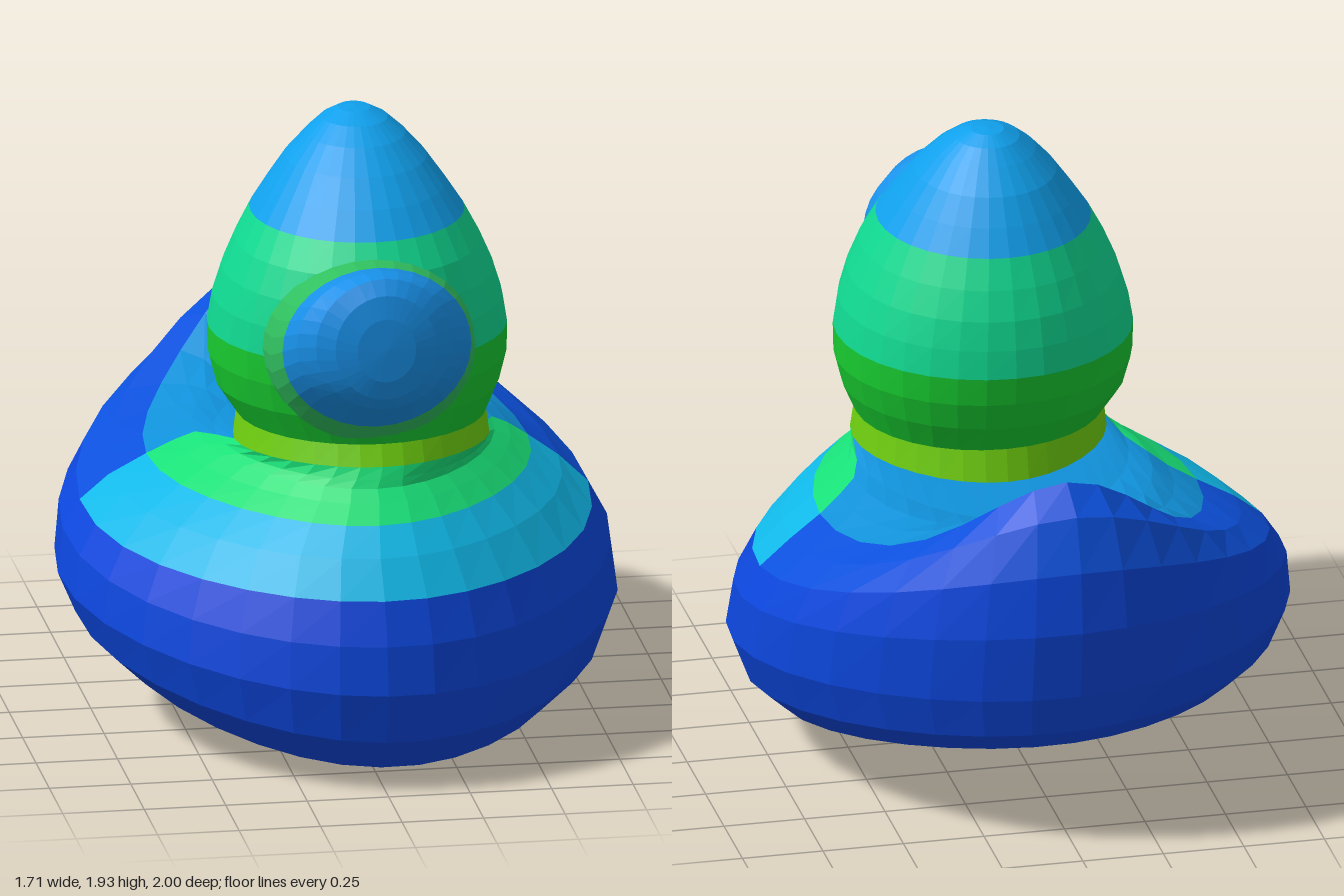
import * as THREE from 'three';

const SEGMENTS = 32;

// Skins a stack of rings between two angles; pointAt(ring, angle) gives each vertex.
function loft(name, rings, pointAt, color, start = 0, end = SEGMENTS) {
  const positions = [], index = [], row = end - start + 1;
  rings.forEach((ring) => {
    for (let j = start; j <= end; j++) {
      positions.push(...pointAt(ring, (j / SEGMENTS) * Math.PI * 2));
    }
  });
  for (let i = 0; i < rings.length - 1; i++) {
    for (let j = 0; j < row - 1; j++) {
      const a = i * row + j, b = a + 1, c = b + row, d = a + row;
      index.push(a, b, c, a, c, d);
    }
  }
  const geometry = new THREE.BufferGeometry();
  geometry.setAttribute('position', new THREE.Float32BufferAttribute(positions, 3));
  geometry.setIndex(index);
  geometry.computeVertexNormals();
  const mesh = new THREE.Mesh(geometry, new THREE.MeshStandardMaterial({ color, flatShading: true }));
  mesh.name = name;
  return mesh;
}

// Body ring: the height climbs from the front to the back by a power curve, raising the tail.
// The lower rings also lean slightly to the left.
function bodyPoint([zf, yf, zb, yb, hw, power, cx = 0], a) {
  const t = (1 - Math.cos(a)) / 2;
  const x = cx + hw * Math.sin(a) * (1 - 0.13 * Math.cos(a) ** 2);
  const lean = 0.06 * x * Math.max(0, 1 - yf / 0.8);
  return [x, yf + (yb - yf) * t ** power - lean, zf + (zb - zf) * t];
}

// Head ring: level oval.
function headPoint([y, zf, zb, hw, cx = 0.03], a) {
  return [cx + hw * Math.sin(a), y, (zf + zb) / 2 + ((zf - zb) / 2) * Math.cos(a)];
}

// Bill ring: upright oval facing forward.
function billPoint([z, bottom, top, hw], a) {
  return [0.015 + hw * Math.cos(a), (top + bottom) / 2 + ((top - bottom) / 2) * Math.sin(a), z];
}

export function createModel() {
  const model = new THREE.Group();
  model.name = 'duck';

  // front z, front y, back z, back y, half width, power, centre x
  const body = [
    [-0.05, 0.20, -0.05, 0.20, 0, 1],
    [0.36, 0.10, -0.45, 0.27, 0.32, 1],
    [0.70, 0.004, -0.80, 0.31, 0.57, 1],
    [0.86, 0.05, -0.88, 0.34, 0.70, 1],
    [0.96, 0.16, -0.93, 0.40, 0.80, 1],
    [1.00, 0.32, -0.97, 0.53, 0.853, 1.2],
    [0.98, 0.47, -1.00, 0.75, 0.835, 1.7],
    [0.93, 0.60, -0.98, 0.94, 0.78, 2.8],
    [0.85, 0.71, -0.92, 1.10, 0.69, 4.5],
    [0.77, 0.79, -0.83, 1.18, 0.585, 6.5, 0.01],
    [0.71, 0.84, -0.73, 1.11, 0.51, 7.5, 0.02],
    [0.67, 0.875, -0.61, 0.95, 0.455, 6, 0.02],
    [0.66, 0.90, -0.42, 0.885, 0.415, 1, 0.03],
    [0.645, 0.935, -0.16, 0.90, 0.39, 1, 0.04],
    [0.62, 1.00, -0.14, 1.00, 0.38, 1, 0.04],
  ];
  const bodyGroup = new THREE.Group();
  bodyGroup.name = 'body';
  bodyGroup.add(
    loft('underside', body.slice(0, 4), bodyPoint, 0x0a1cb0),
    loft('lowerBody', body.slice(3, 8), bodyPoint, 0x0c46dc),
  );
  // Shoulders are paler at the breast than at the tail.
  const shoulder = body.slice(7, 10), back = body.slice(9, 14);
  bodyGroup.add(
    loft('breast', shoulder, bodyPoint, 0x10b8e8, -8, 8),
    loft('tail', shoulder, bodyPoint, 0x0c50dc, 8, 24),
    loft('collar', back, bodyPoint, 0x18e078, -8, 8),
    loft('backAndTailHollow', back, bodyPoint, 0x1090d8, 8, 24),
    loft('neck', body.slice(13), bodyPoint, 0x70d010),
  );
  model.add(bodyGroup);

  // y, front z, back z, half width, centre x
  const head = [
    [1.00, 0.62, -0.14, 0.38, 0.04],
    [1.09, 0.65, -0.19, 0.43],
    [1.18, 0.67, -0.22, 0.453],
    [1.27, 0.68, -0.232, 0.455],
    [1.36, 0.68, -0.225, 0.44],
    [1.45, 0.67, -0.21, 0.412],
    [1.54, 0.64, -0.18, 0.373],
    [1.63, 0.58, -0.14, 0.325],
    [1.71, 0.515, -0.095, 0.272],
    [1.79, 0.44, -0.045, 0.215],
    [1.86, 0.36, 0.02, 0.152],
    [1.905, 0.29, 0.065, 0.10],
    [1.93, 0.22, 0.11, 0.05],
    [1.935, 0.16, 0.16, 0],
  ];
  const headGroup = new THREE.Group();
  headGroup.name = 'head';
  headGroup.add(
    loft('cheeks', head.slice(0, 4), headPoint, 0x18cc30),
    loft('headMiddle', head.slice(3, 8), headPoint, 0x10d890),
    loft('crown', head.slice(7), headPoint, 0x10a0ec),
  );
  model.add(headGroup);

  // z, bottom, top, half width
  const bill = [
    [0.46, 1.00, 1.58, 0.33],
    [0.61, 1.01, 1.585, 0.315],
    [0.69, 1.08, 1.585, 0.29],
    [0.77, 1.14, 1.60, 0.26],
    [0.83, 1.18, 1.595, 0.21],
    [0.86, 1.22, 1.55, 0.155],
    [0.875, 1.28, 1.48, 0.09],
    [0.88, 1.38, 1.38, 0],
  ];
  const billGroup = new THREE.Group();
  billGroup.name = 'bill';
  billGroup.add(
    loft('billBase', bill.slice(0, 3), billPoint, 0x30c060),
    loft('billTip', bill.slice(2), billPoint, 0x1890e8),
  );
  model.add(billGroup);

  return model;
}
